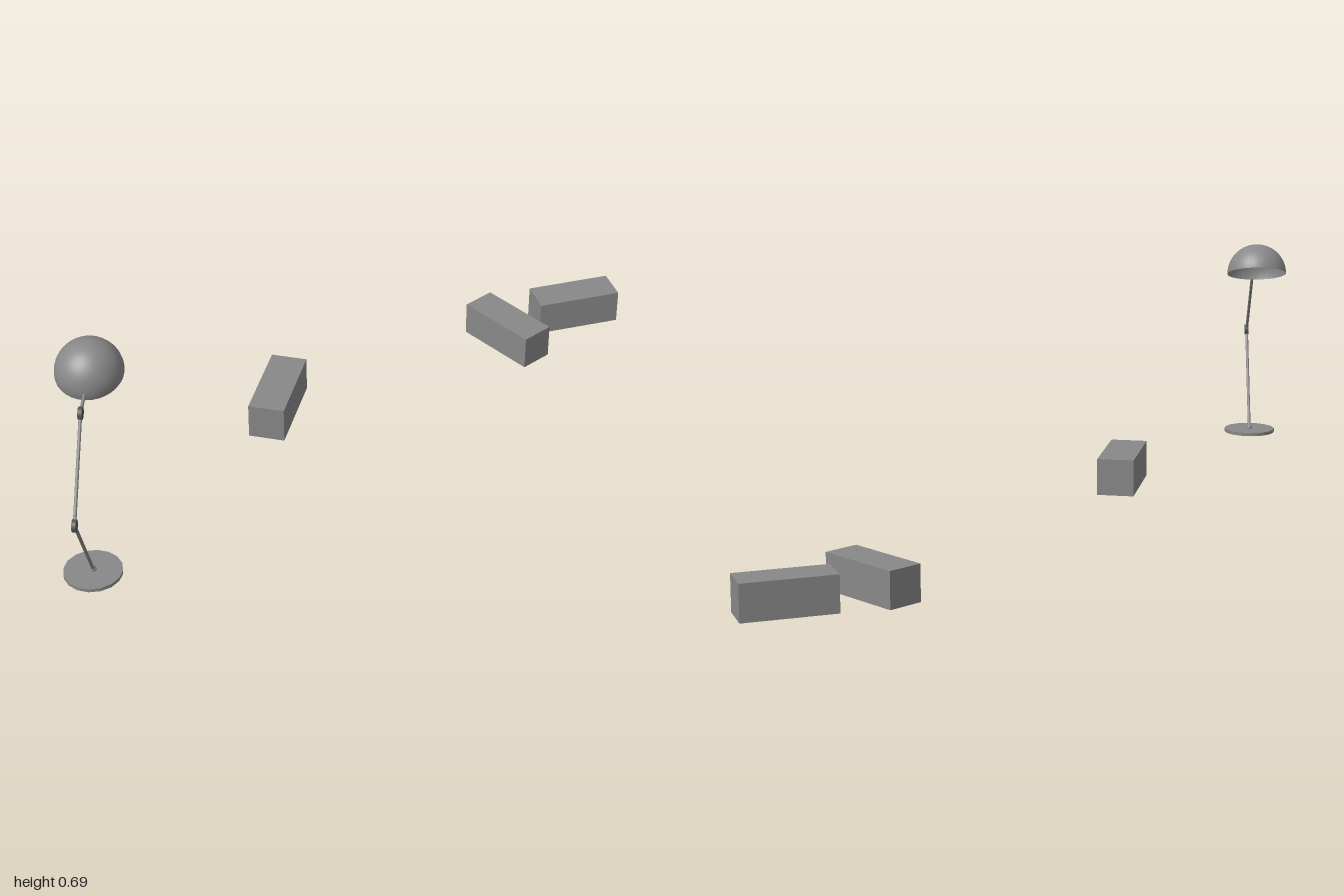
import * as THREE from 'three';

const grey = new THREE.MeshStandardMaterial({ color: 0x888888 });
const dark = new THREE.MeshStandardMaterial({ color: 0x555555 });
const shell = new THREE.MeshStandardMaterial({ color: 0x888888, side: THREE.DoubleSide });
const rad = THREE.MathUtils.degToRad;

function part(parent, name, geometry, x, y, z, material = grey) {
  const mesh = new THREE.Mesh(geometry, material);
  mesh.name = name;
  mesh.position.set(x, y, z);
  parent.add(mesh);
  return mesh;
}

// Round rod between two points [x, y] of the lamp's own plane
function rod(parent, name, a, b, radius) {
  const dx = b[0] - a[0], dy = b[1] - a[1];
  const geometry = new THREE.CylinderGeometry(radius, radius, Math.hypot(dx, dy), 12);
  const mesh = part(parent, name, geometry, (a[0] + b[0]) / 2, (a[1] + b[1]) / 2, 0);
  mesh.rotation.z = Math.atan2(dy, dx) - Math.PI / 2;
}

// Desk lamp whose arm bends in its local xy plane
function createLamp() {
  const lamp = new THREE.Group();
  lamp.name = 'lamp';
  const foot = [0, 0.011], elbow = [0.153, 0.267], wrist = [-0.012, 0.453], neckEnd = [-0.073, 0.463];

  part(lamp, 'base', new THREE.CylinderGeometry(0.07, 0.07, 0.009, 16), 0, 0.0045, 0);
  part(lamp, 'footJoint', new THREE.SphereGeometry(0.008, 16, 12), ...foot, 0);
  rod(lamp, 'lowerArm', foot, elbow, 0.004);
  rod(lamp, 'upperArm', elbow, wrist, 0.004);
  rod(lamp, 'neck', wrist, neckEnd, 0.004);

  // Hinge discs
  for (const [name, p] of [['elbowHinge', elbow], ['wristHinge', wrist]]) {
    part(lamp, name, new THREE.CylinderGeometry(0.0145, 0.0145, 0.01, 20), ...p, 0, dark).rotation.x = Math.PI / 2;
  }

  // Open half-dome shade, tipped away from the arm
  const dome = new THREE.SphereGeometry(0.08, 32, 16, 0, Math.PI * 2, 0, Math.PI / 2);
  part(lamp, 'shade', dome, -0.147, 0.472, 0, shell).rotation.z = rad(-20);
  return lamp;
}

export function createModel() {
  const model = new THREE.Group();
  model.name = 'lampAndBlocks';

  const lamp = createLamp();
  lamp.position.set(0.088, 0.137, 0.877);
  lamp.rotation.y = rad(-45);
  model.add(lamp);

  // Loose blocks: position and turn
  const blocks = [
    ['middleBlock', -0.106, 0.182, 0.15, -55],
    ['straightBlock', -0.069, 0.046, -0.648, 0],
    ['turnedBlock', -0.034, 0.046, -0.876, 65],
  ];
  for (const [name, x, y, z, turn] of blocks) {
    part(model, name, new THREE.BoxGeometry(0.231, 0.092, 0.092), x, y, z).rotation.y = rad(turn);
  }
  return model;
}
